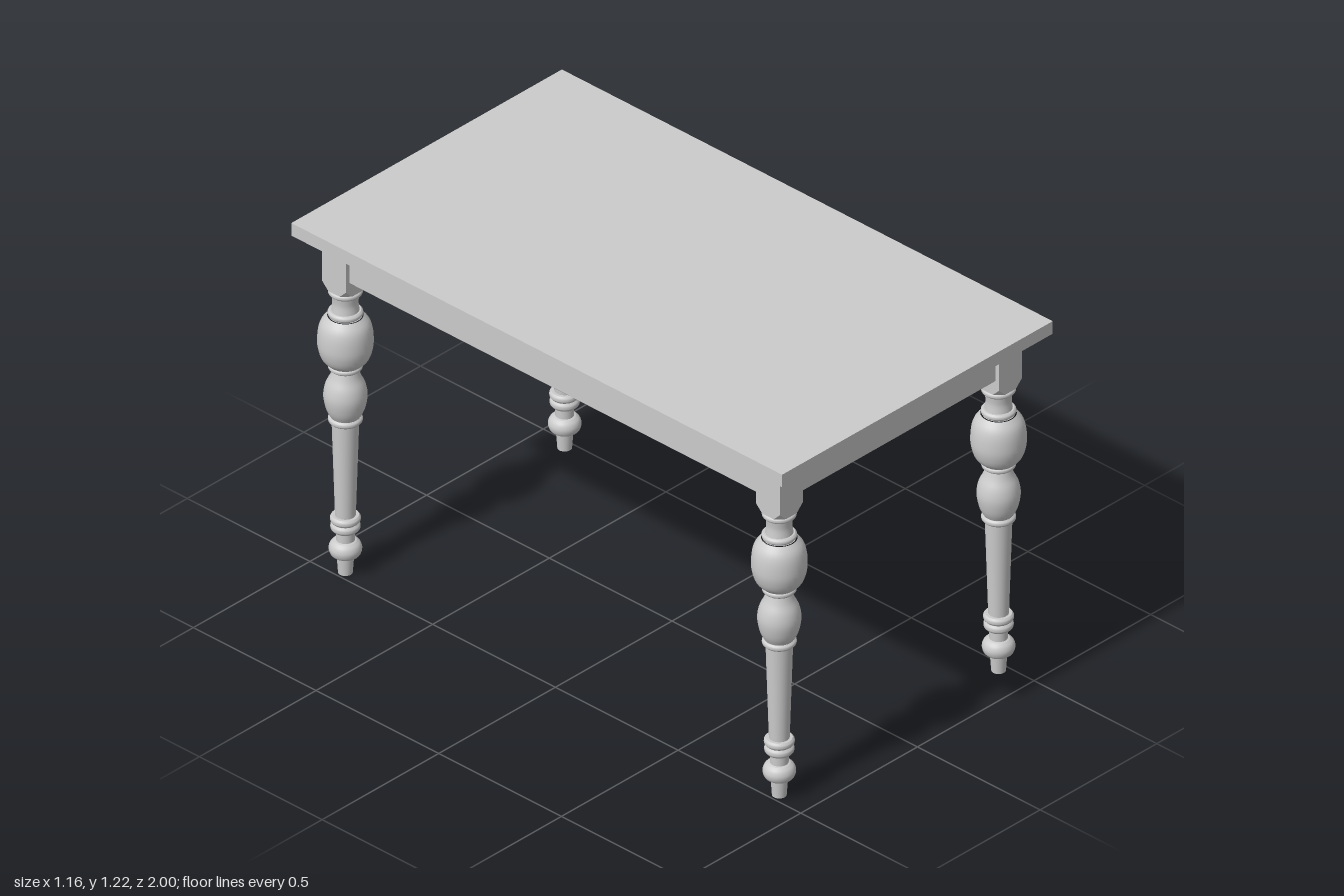
import * as THREE from 'three';
import { mergeGeometries } from 'three/addons/utils/BufferGeometryUtils.js';
import { ConvexGeometry } from 'three/addons/geometries/ConvexGeometry.js';

const material = new THREE.MeshStandardMaterial({ color: 0xcccccc });

function mesh(geometry, name) {
  const m = new THREE.Mesh(geometry, material);
  m.name = name;
  return m;
}

// Corners of a horizontal rectangle at height y
function rect(hx, hz, y) {
  return [[1, 1], [1, -1], [-1, -1], [-1, 1]].map(([a, b]) => new THREE.Vector3(a * hx, y, b * hz));
}

// Turned section through [radius, y] points; curved sections follow a spline
function turned(points, curved) {
  let profile = points.map(([r, y]) => new THREE.Vector2(r, y));
  if (curved) profile = new THREE.SplineCurve(profile).getPoints(16);
  return new THREE.LatheGeometry(profile, 32);
}

// Rounded ring between y0 and y1, running from neck radius a to neck radius b
function ring(a, b, r, y0, y1) {
  const h = y1 - y0;
  return [
    turned([[a, y0], [r - 0.006, y0]]),
    turned([[r - 0.006, y0], [r - 0.001, y0 + h * 0.25], [r, y0 + h / 2], [r - 0.001, y1 - h * 0.25], [r - 0.006, y1]], true),
    turned([[r - 0.006, y1], [b, y1]]),
  ];
}

function legGeometry() {
  return mergeGeometries([
    // Foot and ball
    turned([[0, 0], [0.022, 0]]),
    turned([[0.022, 0], [0.026, 0.058]]),
    turned([[0.026, 0.058], [0.034, 0.06]]),
    turned([[0.034, 0.06], [0.045, 0.069], [0.05, 0.087], [0.045, 0.104], [0.034, 0.114]], true),
    turned([[0.034, 0.114], [0.028, 0.116]]),
    // Ankle and its two rings
    turned([[0.028, 0.116], [0.028, 0.151]]),
    ...ring(0.028, 0.035, 0.045, 0.151, 0.177),
    ...ring(0.035, 0.031, 0.046, 0.179, 0.203),
    // Tapered shaft
    turned([[0.031, 0.203], [0.041, 0.53]]),
    ...ring(0.041, 0.045, 0.052, 0.53, 0.551),
    // Vase
    turned([[0.045, 0.551], [0.058, 0.578], [0.066, 0.622], [0.06, 0.66], [0.046, 0.69], [0.037, 0.716]], true),
    ...ring(0.037, 0.05, 0.052, 0.716, 0.735),
    // Large bulb
    turned([[0.052, 0.735], [0.071, 0.756], [0.082, 0.79], [0.084, 0.82], [0.081, 0.855], [0.072, 0.882], [0.054, 0.903]], true),
    ...ring(0.05, 0.042, 0.053, 0.903, 0.923),
    // Neck and collar
    turned([[0.042, 0.923], [0.039, 0.95], [0.042, 0.978]], true),
    ...ring(0.042, 0.03, 0.052, 0.978, 0.998),
  ]);
}

// Square post with its lower corners cut off
function postGeometry() {
  const h = 0.049, cut = 0.026, y0 = 0.998;
  return new ConvexGeometry([
    ...rect(h, h, 1.18), ...rect(h, h, y0 + cut),
    ...rect(h - cut, h, y0), ...rect(h, h - cut, y0),
  ]);
}

export function createModel() {
  const table = new THREE.Group();
  table.name = 'table';

  const top = mesh(new THREE.BoxGeometry(1.16, 0.044, 2), 'tableTop');
  top.position.y = 1.202;
  table.add(top);

  // Apron with a fine bevel around its lower edge
  const hx = 0.504, hz = 0.917;
  table.add(mesh(new ConvexGeometry([
    ...rect(hx, hz, 1.18), ...rect(hx, hz, 1.051), ...rect(hx - 0.006, hz - 0.006, 1.045),
  ]), 'apron'));

  const legGeo = legGeometry(), postGeo = postGeometry();
  for (const [z, end] of [[0.884, 'front'], [-0.884, 'back']]) {
    for (const [x, side] of [[0.47, 'Left'], [-0.47, 'Right']]) {
      const leg = new THREE.Group();
      leg.name = `${end}${side}Leg`;
      leg.add(mesh(legGeo, 'turnedLeg'), mesh(postGeo, 'legPost'));
      leg.position.set(x, 0, z);
      table.add(leg);
    }
  }
  return table;
}
